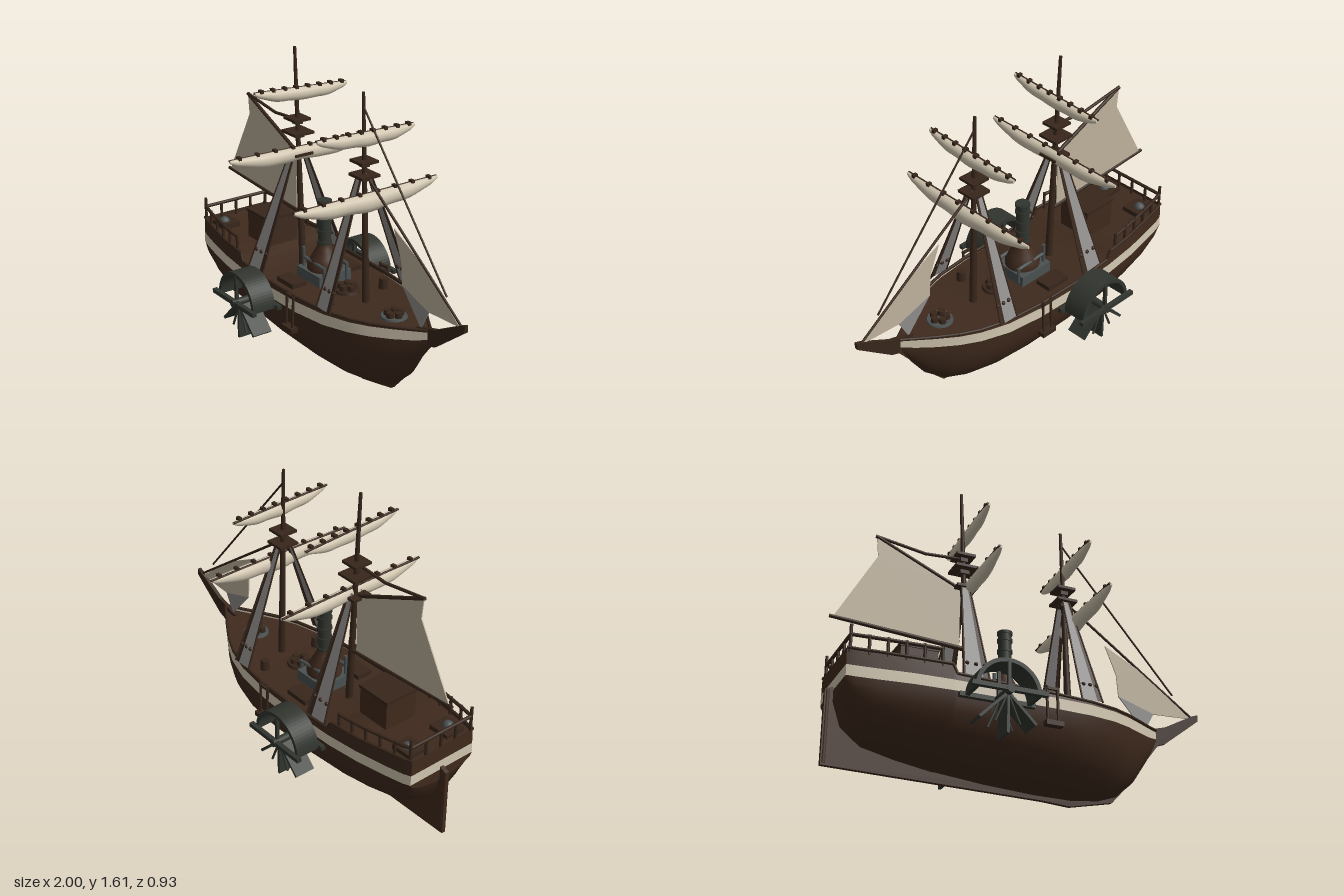
import * as THREE from 'three';

const mat = (name, hex) => {
  const m = new THREE.MeshStandardMaterial({ color: hex, side: THREE.DoubleSide });
  m.name = name;
  return m;
};

// Hull stations: x, half width, bulwark top, stripe top, stripe bottom, hull bottom
const stations = [
  [-0.96, 0.2, 0.54, 0.455, 0.4, 0.34], [-0.92, 0.212, 0.535, 0.45, 0.395, 0.22],
  [-0.82, 0.232, 0.53, 0.445, 0.39, 0.14], [-0.65, 0.262, 0.52, 0.44, 0.385, 0.1],
  [-0.47, 0.28, 0.515, 0.435, 0.38, 0.07], [-0.45, 0.281, 0.47, 0.434, 0.38, 0.07],
  [-0.2, 0.288, 0.458, 0.43, 0.375, 0.045], [0.05, 0.283, 0.455, 0.432, 0.375, 0.03],
  [0.25, 0.262, 0.455, 0.437, 0.38, 0.028], [0.4, 0.22, 0.458, 0.442, 0.388, 0.045],
  [0.5, 0.172, 0.46, 0.446, 0.393, 0.08], [0.6, 0.108, 0.464, 0.452, 0.4, 0.17],
  [0.68, 0.053, 0.468, 0.458, 0.41, 0.29], [0.745, 0.01, 0.474, 0.464, 0.425, 0.4]];

// Reads a station column at any x
function at(x, col) {
  let i = 1;
  while (i < stations.length - 1 && stations[i][0] < x) i++;
  const a = stations[i - 1], b = stations[i];
  return THREE.MathUtils.lerp(a[col], b[col], (x - a[0]) / (b[0] - a[0]));
}

// Skin stretched over equal-length cross-sections
function loft(sections) {
  const n = sections[0].length, index = [];
  for (let i = 0; i < sections.length - 1; i++)
    for (let j = 0; j < n - 1; j++) {
      const a = i * n + j, b = a + n;
      index.push(a, a + 1, b, b, a + 1, b + 1);
    }
  const g = new THREE.BufferGeometry();
  g.setAttribute('position', new THREE.Float32BufferAttribute(sections.flat(2), 3));
  g.setIndex(index);
  g.computeVertexNormals();
  return g;
}

export function createModel() {
  const root = new THREE.Group();
  const wood = mat('hull brown', 0x3f2a1d), dark = mat('spar brown', 0x37261b);
  const cream = mat('stripe and furled cream', 0xd0c5af), cloth = mat('sail beige', 0xbfb39d);
  const iron = mat('iron green', 0x31352e), steel = mat('slate steel', 0x4a5051);
  const net = mat('rigging grey', 0x8f8d8b);

  const add = (name, geo, material, x = 0, y = 0, z = 0, parent = root) => {
    const m = new THREE.Mesh(geo, material);
    m.name = name;
    m.position.set(x, y, z);
    parent.add(m);
    return m;
  };
  const box = (name, w, h, d, material, x, y, z, parent) =>
    add(name, new THREE.BoxGeometry(w, h, d), material, x, y, z, parent);
  const cyl = (name, rt, rb, h, material, x, y, z, parent) =>
    add(name, new THREE.CylinderGeometry(rt, rb, h, 16), material, x, y, z, parent);
  const rod = (name, a, b, r1, r2, material, parent) => {
    const p = new THREE.Vector3(...a), q = new THREE.Vector3(...b);
    const m = cyl(name, r2, r1, p.distanceTo(q), material, 0, 0, 0, parent);
    m.position.copy(p).add(q).multiplyScalar(0.5);
    m.quaternion.setFromUnitVectors(new THREE.Vector3(0, 1, 0), q.sub(p).normalize());
    return m;
  };
  const plate = (name, pts, depth, material) => {
    const shape = new THREE.Shape(pts.map(p => new THREE.Vector2(...p)));
    return add(name, new THREE.ExtrudeGeometry(shape, { depth, bevelEnabled: false }), material, 0, 0, -depth / 2);
  };

  // Hull skin, stripe, bulwark and transom
  const lower = ([x, w, , , sb, k]) => Array.from({ length: 21 }, (_, i) => {
    const a = Math.PI * i / 20, c = Math.cos(a);
    return [x, sb - (sb - k) * Math.sin(a), w * Math.sign(c) * Math.abs(c) ** 1.15];
  });
  const flat = s => [s[0], 0, ...s.slice(2)];
  const ends = [flat(stations[0]), stations[0]];
  for (const [part, list] of [['hull', stations], ['transom', ends]]) {
    add(part, loft(list.map(lower)), wood);
    for (const s of [1, -1]) {
      add(part + 'Stripe', loft(list.map(([x, w, , st, sb]) => [[x, sb, s * w], [x, st, s * w * 0.99]])), cream);
      add(part + 'Bulwark', loft(list.map(([x, w, t, st]) => [[x, st, s * w * 0.99], [x, t, s * w * 0.97]])), wood);
    }
  }
  add('deck', loft(stations.map(([x, w, t]) => [[x, t - 0.02, w * 0.97], [x, t - 0.02, -w * 0.97]])), wood);
  for (const s of [1, -1])
    for (let i = 0; i < stations.length - 1; i++) {
      const e = ([x, w, t]) => [x, t, s * w * 0.97];
      rod('capRail', e(stations[i]), e(stations[i + 1]), 0.008, 0.008, dark);
    }

  // Keel with rudder, stem and bowsprit
  plate('keel', [[-1, 0.03], [0.1, 0.01], [0.25, 0], [0.48, 0.05], [0.58, 0.16], [0.66, 0.27], [0.76, 0.4],
    [0.7, 0.42], [0.5, 0.14], [0.2, 0.06], [-0.9, 0.24], [-0.95, 0.42], [-1, 0.4]], 0.022, wood);
  rod('rudderPost', [-0.985, 0.04, 0], [-0.985, 0.4, 0], 0.014, 0.014, wood);
  plate('bowsprit', [[0.66, 0.46], [0.72, 0.38], [0.8, 0.41], [1, 0.565], [1, 0.6], [0.97, 0.59], [0.8, 0.5]], 0.02, dark);

  // Masts with crosstrees
  const mast = (name, x0, x1, top, tops) => {
    rod(name, [x0, 0.42, 0], [x1, top, 0], 0.02, 0.008, dark);
    for (const [y, w] of tops) {
      const x = x0 + (x1 - x0) * (y - 0.42) / (top - 0.42);
      box('crosstree', w, 0.014, w, dark, x, y, 0);
      box('crosstreeBlock', w * 0.4, 0.024, w * 0.4, dark, x, y - 0.016, 0);
    }
  };
  mast('mainMast', -0.29, -0.345, 1.61, [[1.24, 0.1], [1.17, 0.12], [1.06, 0.11]]);
  mast('foreMast', 0.255, 0.222, 1.51, [[1.17, 0.1], [1.1, 0.11]]);

  // Shrouds with a dark forward band, side ropes and deadeyes
  for (const [x0, x1, t0, t1, h] of [[-0.41, -0.28, -0.345, -0.305, 1.08], [0.2, 0.31, 0.215, 0.25, 1.1]])
    for (const s of [1, -1]) {
      const low = k => [x0 + (x1 - x0) * k, 0.46, s * 0.262], high = k => [t0 + (t1 - t0) * k, h, s * 0.03];
      add('shroud', loft([[low(0), low(0.75)], [high(0), high(0.75)]]), net);
      add('shroudBand', loft([[low(0.75), low(1)], [high(0.75), high(1)]]), dark);
      for (const k of [0, 1]) rod('shroudRope', low(k), high(k), 0.005, 0.004, dark);
      for (let i = 0; i < 3; i++)
        add('deadeye', new THREE.SphereGeometry(0.011, 10, 8), dark, x0 + 0.025 + (x1 - x0 - 0.04) * i / 2, 0.555, s * 0.226);
    }

  // Furled square sails under their yards: x, end heights, end z, thickness, pinch at the mast
  for (const [x, yl, yr, l, r, thick, pinch] of [[-0.3, 1.425, 1.395, 0.27, -0.29, 0.028, 0.1],
    [0.25, 1.33, 1.31, 0.29, -0.29, 0.03, 0.05], [-0.3, 1.105, 1.09, 0.425, -0.43, 0.037, 0.3],
    [0.28, 1.02, 1.02, 0.44, -0.42, 0.04, 0]]) {
    const g = new THREE.CylinderGeometry(1, 1, 1, 14, 24), p = g.attributes.position;
    for (let i = 0; i < p.count; i++) {
      const v = p.getY(i), t = v * 2;
      const rad = 0.008 + thick * (1 - t * t) ** 0.7 * (0.94 + 0.06 * Math.cos(t * 11) - pinch * Math.exp(-t * t * 30));
      p.setXYZ(i, p.getX(i) * rad * 0.8, yr + (yl - yr) * (v + 0.5) - rad + p.getZ(i) * rad, r + (l - r) * (v + 0.5));
    }
    g.computeVertexNormals();
    add('furledSail', g, cream, x, 0, 0);
    rod('yard', [x - 0.008, yr - 0.004, r], [x - 0.008, yl - 0.004, l], 0.006, 0.006, dark);
    for (let i = 0; i < 8; i++) {
      const k = (i + 0.5) / 8;
      box('sailTie', 0.026, 0.018, 0.018, dark, x, yr + (yl - yr) * k + 0.003, r + (l - r) * k);
    }
  }

  // Gaff sail, gaff and boom
  plate('gaffSail', [[-0.785, 1.25], [-0.34, 1.05], [-0.34, 0.735], [-0.985, 0.775], [-0.775, 1.15]], 0.006, cloth);
  rod('gaff', [-0.79, 1.26, 0], [-0.33, 1.055, 0], 0.009, 0.01, dark);
  rod('boom', [-1, 0.78, 0], [-0.32, 0.735, 0], 0.009, 0.012, dark);
  rod('gaffLine', [-0.79, 1.26, 0], [-0.53, 1.22, 0], 0.008, 0.008, dark);
  rod('gaffLine', [-0.53, 1.22, 0], [-0.3, 1.235, 0], 0.008, 0.008, dark);

  // Jib and stays
  plate('jib', [[0.47, 0.9], [0.68, 0.79], [0.96, 0.575], [0.74, 0.565], [0.54, 0.63], [0.53, 0.75]], 0.006, cloth);
  plate('jibFoot', [[0.54, 0.63], [0.74, 0.565], [0.685, 0.46]], 0.006, net);
  rod('jibStay', [0.24, 1.11, 0], [0.97, 0.58, 0], 0.007, 0.006, dark);
  rod('topStay', [0.224, 1.44, 0], [0.86, 0.69, 0], 0.005, 0.005, dark);

  // Paddle wheels
  for (const s of [1, -1]) {
    const wheel = new THREE.Group();
    wheel.name = 'paddleWheel';
    wheel.position.set(-0.26, 0.35, s * 0.375);
    root.add(wheel);
    const arch = new THREE.Shape();
    arch.absarc(0, 0, 0.165, 0, Math.PI, false);
    arch.absarc(0, 0, 0.145, Math.PI, 0, true);
    const g = new THREE.ExtrudeGeometry(arch, { depth: 0.13, bevelEnabled: false, curveSegments: 16 });
    add('wheelCover', g, iron, 0, 0, -0.065, wheel);
    for (const z of [-0.075, 0.075]) {
      box('coverBeam', 0.38, 0.022, 0.025, iron, 0, 0.008, z, wheel);
      box('coverPost', 0.016, 0.15, 0.016, iron, 0, 0.075, z * 0.8, wheel);
    }
    rod('axle', [0, 0.005, -s * 0.12], [0, 0.005, s * 0.09], 0.02, 0.02, iron, wheel);
    for (let i = 1; i < 4; i++) {
      const a = -Math.PI * i / 4;
      const b = box('paddle', 0.19, 0.014, 0.11, iron, Math.cos(a) * 0.102, Math.sin(a) * 0.102, 0, wheel);
      b.rotation.z = a;
    }
    // Bare spokes between the paddles
    for (const k of [3, 5])
      for (const z of [-0.045, 0.045]) {
        const a = -Math.PI * k / 8;
        rod('spoke', [0, 0, z], [Math.cos(a) * 0.16, Math.sin(a) * 0.16, z], 0.006, 0.006, iron, wheel);
      }
  }

  // Boiler and funnel
  box('boilerBase', 0.2, 0.06, 0.2, steel, -0.1, 0.465, 0);
  const profile = [[0.09, 0.48], [0.092, 0.52], [0.07, 0.56], [0.042, 0.61], [0.036, 0.63]];
  add('boiler', new THREE.LatheGeometry(profile.map(p => new THREE.Vector2(...p)), 20), wood, -0.095, 0, 0);
  cyl('funnel', 0.034, 0.034, 0.25, iron, -0.095, 0.745, 0);
  for (const y of [0.64, 0.7, 0.76, 0.82, 0.86]) cyl('funnelRing', 0.039, 0.039, 0.016, iron, -0.095, y, 0);
  for (const s of [1, -1]) {
    rod('steamPipe', [-0.18, 0.45, s * 0.07], [-0.18, 0.6, s * 0.07], 0.009, 0.009, steel);
    rod('steamPipe', [0, 0.45, s * 0.07], [0, 0.54, s * 0.07], 0.009, 0.009, steel);
    rod('steamPipe', [-0.18, 0.545, s * 0.07], [0, 0.535, s * 0.07], 0.009, 0.009, steel);
  }

  // Cabin and deck fittings
  box('cabin', 0.19, 0.15, 0.19, wood, -0.575, 0.575, 0);
  box('cabinRoof', 0.2, 0.016, 0.2, dark, -0.575, 0.655, 0);
  for (const x of [0.1, 0.48]) {
    cyl('roundHatch', 0.065, 0.07, 0.014, x > 0.3 ? steel : dark, x, 0.443, 0);
    for (let i = 0; i < 5; i++)
      cyl('hatchCask', 0.018, 0.02, 0.03, dark, x + 0.034 * Math.cos(i * 1.257), 0.46, 0.034 * Math.sin(i * 1.257));
  }
  for (const s of [1, -1]) {
    box('sideHatch', 0.14, 0.025, 0.09, dark, -0.14, 0.45, s * 0.175);
    box('sternHatch', 0.12, 0.03, 0.11, dark, -0.86, 0.52, s * 0.12);
    add('sternBowl', new THREE.SphereGeometry(0.03, 14, 10), steel, -0.86, 0.53, s * 0.13);
    cyl('bollard', 0.022, 0.026, 0.06, dark, 0.18, 0.46, s * 0.17);

    // Boarding ladder
    for (const x of [-0.005, 0.05]) rod('ladderPost', [x, 0.28, s * 0.305], [x, 0.48, s * 0.295], 0.007, 0.007, dark);
    box('ladderRung', 0.06, 0.012, 0.014, dark, 0.022, 0.465, s * 0.3);
    box('ladderStep', 0.09, 0.025, 0.04, dark, 0.025, 0.285, s * 0.305);

    // Stern side railing
    const railAt = (x, h) => [x, at(x, 2) + h, s * (at(x, 1) * 0.95)];
    for (let i = 0; i < 6; i++) {
      const x = -0.945 + i * 0.085;
      rod('railPost', railAt(x, -0.02), railAt(x, i ? 0.08 : 0.12), 0.008, 0.008, dark);
      if (i < 5) rod('handRail', railAt(x, 0.07), railAt(x + 0.085, 0.07), 0.009, 0.009, dark);
    }
  }
  rod('sternRail', [-0.945, 0.608, -0.19], [-0.945, 0.608, 0.19], 0.009, 0.009, dark);
  for (const z of [-0.095, 0, 0.095]) rod('railPost', [-0.945, 0.52, z], [-0.945, 0.61, z], 0.008, 0.008, dark);

  return root;
}
